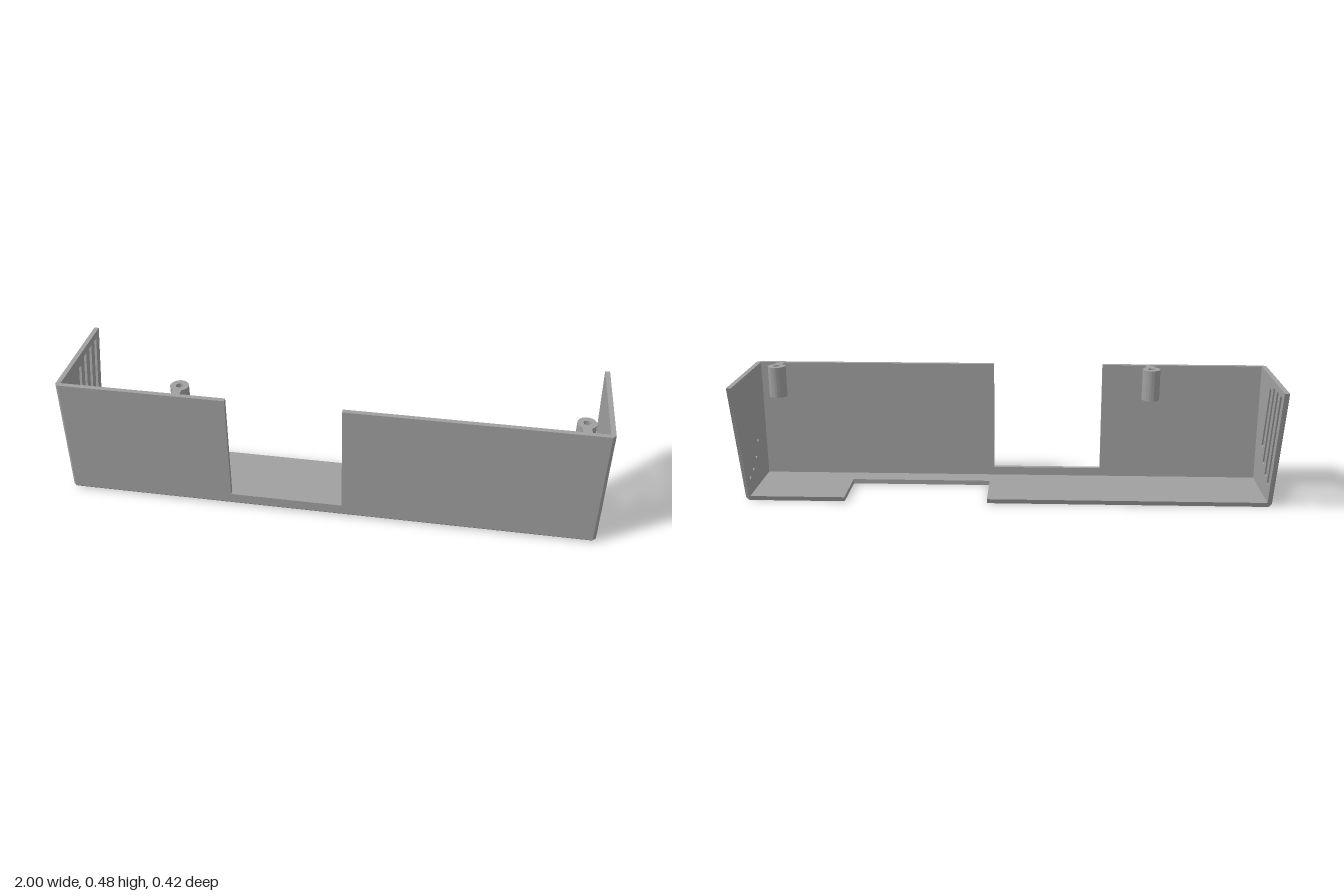
import * as THREE from 'three';
import { toCreasedNormals } from 'three/addons/utils/BufferGeometryUtils.js';

const H = 0.477, T = 0.018, CH = 0.012, FRONT = 0.21, INNER = 1 - T;
const WALL_Z = FRONT - T;

const pts = (list) => list.map(([a, b]) => new THREE.Vector2(a, b));
const extrude = (shape, depth, steps = 1) =>
  new THREE.ExtrudeGeometry(shape, { depth, steps, bevelEnabled: false, curveSegments: 32 });

// Moves every vertex by a rule, then refreshes the flat normals
function reshape(geo, rule) {
  const p = geo.attributes.position, v = new THREE.Vector3();
  for (let i = 0; i < p.count; i++) {
    rule(v.fromBufferAttribute(p, i));
    p.setXYZ(i, v.x, v.y, v.z);
  }
  geo.computeVertexNormals();
  return geo;
}

// Side wall: slanted back edge, slots, chamfered outer front and bottom edges
function sideWall(side) {
  const shape = new THREE.Shape(pts([
    [-0.082, 0], [FRONT - CH, 0], [FRONT, CH], [FRONT, H], [-0.21, H],
  ]));
  const slots = [
    [[0.088, 0.19], [0.066, 0.185], [0, 0.431], [0.022, 0.436]],
    [[0.047, 0.135], [0.025, 0.13], [-0.06, 0.452], [-0.036, 0.452]],
    [[0.001, 0.101], [-0.021, 0.096], [-0.116, 0.452], [-0.092, 0.452]],
    [[-0.049, 0.084], [-0.071, 0.079], [-0.171, 0.452], [-0.147, 0.452]],
  ];
  for (const s of slots) shape.holes.push(new THREE.Path(pts(s)));
  const geo = extrude(shape, T, 3);
  geo.translate(0, 0, side > 0 ? -1 : INNER);
  reshape(geo, (v) => {
    const inset = Math.max(0, Math.abs(v.z) - (1 - CH));
    v.x = Math.min(v.x, FRONT - inset);
    v.y = Math.max(v.y, inset);
  });
  return geo.rotateY(-Math.PI / 2);
}

// Floor plate with a rear cut-out; its back edge follows the slant of the sides
function floorPlate() {
  const back = 0.082;
  const shape = new THREE.Shape(pts([
    [-INNER, -WALL_Z], [INNER, -WALL_Z], [INNER, back], [0.62, back],
    [0.62, -0.115], [0.075, -0.115], [0.075, back], [-INNER, back],
  ]));
  const geo = extrude(shape, T).rotateX(-Math.PI / 2);
  return reshape(geo, (v) => {
    if (v.z < -0.08 && v.y > T / 2) v.z -= 0.005;
  });
}

// Low strip along the front, chamfered below
function frontRail() {
  const shape = new THREE.Shape(pts([
    [WALL_Z, 0], [FRONT - CH, 0], [FRONT, CH], [FRONT, 0.05], [WALL_Z, 0.05],
  ]));
  return extrude(shape, 2 * INNER).translate(0, 0, -INNER).rotateY(-Math.PI / 2);
}

function frontPanel(x0, x1) {
  return new THREE.BoxGeometry(x1 - x0, H - 0.05, T)
    .translate((x0 + x1) / 2, (H + 0.05) / 2, FRONT - T / 2);
}

// Screw post with a bore and a neck that joins it to the front wall
function screwPost(x) {
  const r = 0.034, half = 0.016, z = 0.135;
  const a = Math.asin(half / r);
  const shape = new THREE.Shape();
  shape.moveTo(-half, -0.059);
  shape.lineTo(half, -0.059);
  shape.absarc(0, 0, r, -Math.PI / 2 + a, Math.PI * 1.5 - a, false);
  shape.closePath();
  const bore = new THREE.Path();
  bore.absarc(0, 0, 0.013, 0, Math.PI * 2, true);
  shape.holes.push(bore);
  const geo = extrude(shape, 0.12).rotateX(-Math.PI / 2).translate(x, H - 0.121, z);
  return toCreasedNormals(geo, 0.6);
}

export function createModel() {
  const model = new THREE.Group();
  model.name = 'ventedCover';
  const grey = new THREE.MeshStandardMaterial({ color: 0xa0a0a0 });
  grey.name = 'plain grey';
  const add = (name, geo) => {
    const mesh = new THREE.Mesh(geo, grey);
    mesh.name = name;
    model.add(mesh);
  };
  add('leftSideWall', sideWall(1));
  add('rightSideWall', sideWall(-1));
  add('floor', floorPlate());
  add('frontRail', frontRail());
  add('rightFrontPanel', frontPanel(-INNER, -0.365));
  add('leftFrontPanel', frontPanel(0.06, INNER));
  add('rightScrewPost', screwPost(-0.55));
  add('leftScrewPost', screwPost(0.905));
  return model;
}
